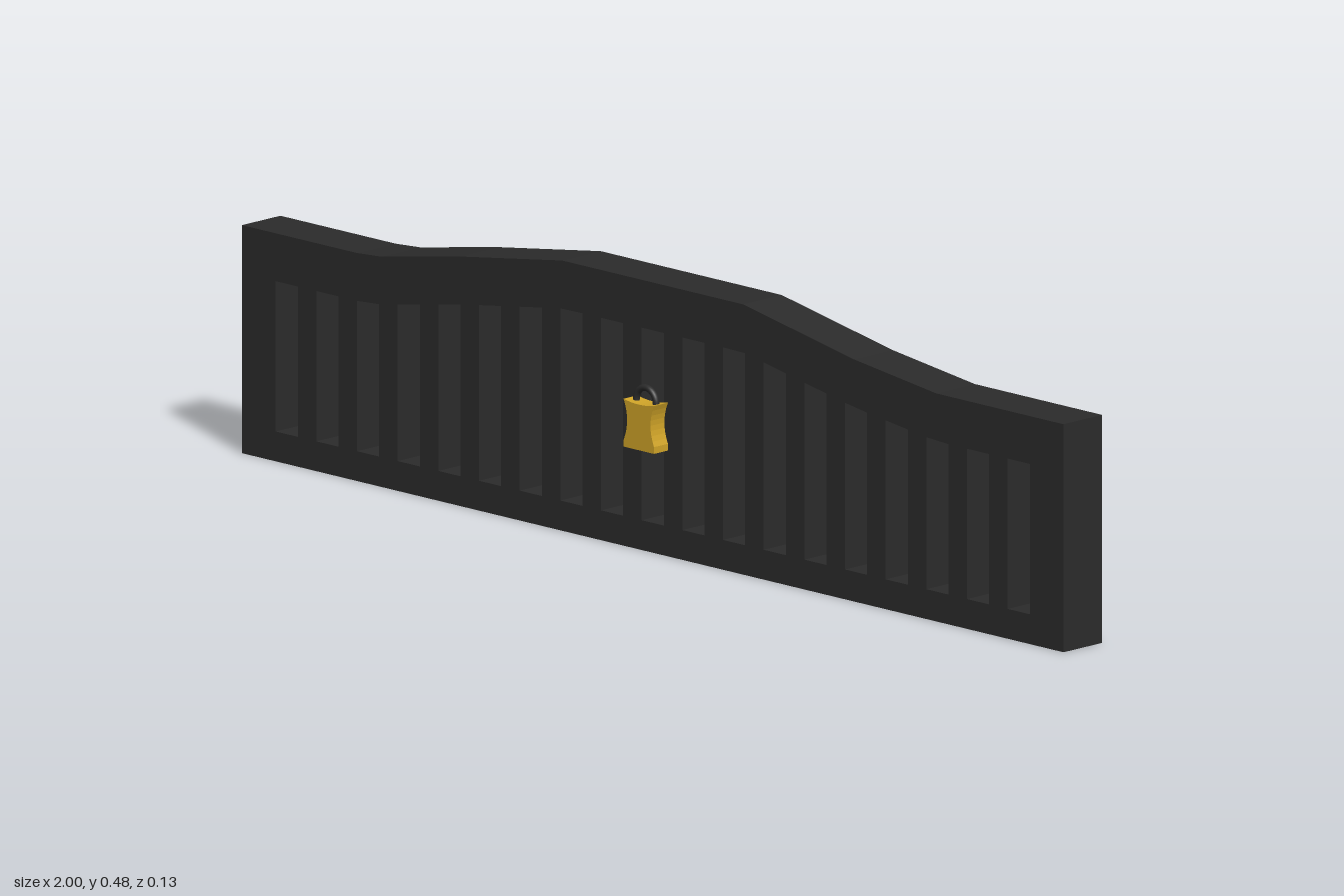
import * as THREE from 'three';

const iron = new THREE.MeshStandardMaterial({ color: 0x2b2b2b });
const brass = new THREE.MeshStandardMaterial({ color: 0xd0a428 });

// Crest line of the panel, left to right
const crest = [[-1, 0.405], [-0.72, 0.405], [-0.66, 0.409], [-0.47, 0.443], [-0.22, 0.48],
  [0.22, 0.48], [0.49, 0.43], [0.69, 0.405], [1, 0.405]];
const crestHeight = (x) => {
  const i = Math.max(1, crest.findIndex((p) => p[0] >= x));
  const [x0, y0] = crest[i - 1], [x1, y1] = crest[i];
  return y0 + (y1 - y0) * (x - x0) / (x1 - x0);
};
const polygon = (points) => points.map(([x, y]) => new THREE.Vector2(x, y));

function extruded(name, shape, depth, z, material) {
  const geometry = new THREE.ExtrudeGeometry(shape, { depth, bevelEnabled: false, curveSegments: 8 });
  const mesh = new THREE.Mesh(geometry.translate(0, 0, z), material);
  mesh.name = name;
  return mesh;
}

// Arched panel pierced by upright slots whose tops follow the crest
function createPanel() {
  const shape = new THREE.Shape(polygon([[-1, 0], [1, 0], ...[...crest].reverse()]));
  const half = 0.027, bottom = 0.053, rail = 0.085;
  for (let i = -9; i <= 9; i++) {
    const a = i * 0.099 - half, b = i * 0.099 + half;
    shape.holes.push(new THREE.Path(polygon([
      [a, bottom], [a, crestHeight(a) - rail], [b, crestHeight(b) - rail], [b, bottom],
    ])));
  }
  return extruded('barredPanel', shape, 0.094, -0.063, iron);
}

// Waisted padlock with an arched shackle
function createPadlock() {
  const lock = new THREE.Group();
  lock.name = 'padlock';
  const body = new THREE.Shape();
  body.moveTo(-0.037, 0.188);
  body.lineTo(0.037, 0.188);
  body.lineTo(0.037, 0.2);
  body.quadraticCurveTo(0.02, 0.236, 0.037, 0.273);
  body.quadraticCurveTo(0, 0.265, -0.037, 0.273);
  body.quadraticCurveTo(-0.02, 0.236, -0.037, 0.2);
  lock.add(extruded('lockBody', body, 0.034, 0.031, brass));

  const shackle = new THREE.Mesh(new THREE.TorusGeometry(0.024, 0.006, 10, 20, Math.PI), iron);
  shackle.name = 'shackle';
  shackle.position.set(0, 0.272, 0.047);
  lock.add(shackle);
  for (const side of [-1, 1]) {
    const leg = new THREE.Mesh(new THREE.CylinderGeometry(0.006, 0.006, 0.012, 10), iron);
    leg.name = side > 0 ? 'leftShackleLeg' : 'rightShackleLeg';
    leg.position.set(side * 0.024, 0.266, 0.047);
    lock.add(leg);
  }
  return lock;
}

export function createModel() {
  const model = new THREE.Group();
  model.name = 'barredGate';
  model.add(createPanel(), createPadlock());
  return model;
}
